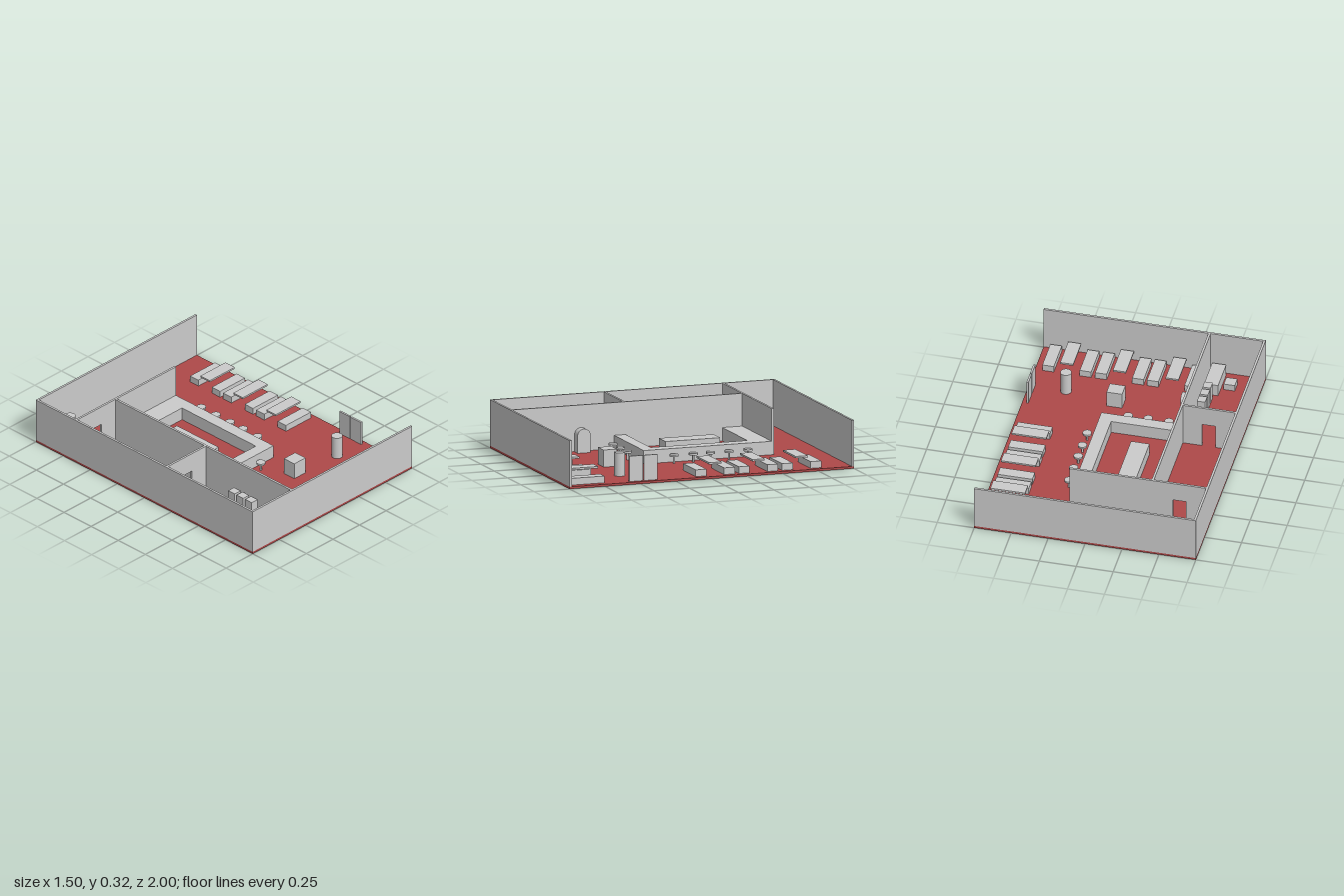
import * as THREE from 'three';

const grey = new THREE.MeshStandardMaterial({ color: 0xcccccc });
const red = new THREE.MeshStandardMaterial({ color: 0xae4949 });
const FLOOR = 0.015, TOP = 0.325, T = 0.015;

export function createModel() {
  const root = new THREE.Group();

  const add = (parent, name, geometry, material = grey) => {
    const mesh = new THREE.Mesh(geometry, material);
    mesh.name = name;
    parent.add(mesh);
    return mesh;
  };
  const group = (name) => {
    const g = new THREE.Group();
    g.name = name;
    root.add(g);
    return g;
  };
  // Box given by its limits along x, z and y
  const box = (parent, name, x0, x1, z0, z1, y0, y1, material) => {
    const mesh = add(parent, name, new THREE.BoxGeometry(x1 - x0, y1 - y0, z1 - z0), material);
    mesh.position.set((x0 + x1) / 2, (y0 + y1) / 2, (z0 + z1) / 2);
    return mesh;
  };
  const cylinder = (parent, name, x, z, r, y0, y1) => {
    const mesh = add(parent, name, new THREE.CylinderGeometry(r, r, y1 - y0, 32));
    mesh.position.set(x, (y0 + y1) / 2, z);
  };

  box(root, 'floor', -0.75, 0.75, -1, 1, 0, FLOOR, red);

  // Outer walls, open on the right side
  const walls = group('walls');
  box(walls, 'frontWall', -0.75, 0.75, 1 - T, 1, FLOOR, TOP);
  box(walls, 'backWall', -0.75, 0.75, -1, -1 + T, FLOOR, TOP);
  box(walls, 'sideWall', -0.75, -0.75 + T, -1 + T, 1 - T, FLOOR, TOP);
  box(walls, 'longPartition', -0.38, -0.365, -0.63, 1 - T, FLOOR, TOP);

  // Cross partitions, each with a doorway
  const crossWall = (name, x1, z) => {
    const s = new THREE.Shape();
    [[-0.735, FLOOR], [-0.6, FLOOR], [-0.6, 0.19], [-0.51, 0.19], [-0.51, FLOOR],
      [x1, FLOOR], [x1, TOP], [-0.735, TOP]].forEach(([x, y], i) => (i ? s.lineTo(x, y) : s.moveTo(x, y)));
    add(walls, name, new THREE.ExtrudeGeometry(s, { depth: T, bevelEnabled: false })).position.z = z;
  };
  crossWall('backPartition', 0.19, -0.645);
  crossWall('middlePartition', -0.38, 0.19);

  // U-shaped bar counter with an island inside
  const bar = group('bar');
  const u = new THREE.Shape();
  [[-0.365, 0.63], [-0.365, 0.49], [0.105, 0.49], [0.105, -0.19], [-0.365, -0.19],
    [-0.365, -0.27], [0.19, -0.27], [0.19, 0.63]].forEach(([x, y], i) => (i ? u.lineTo(x, y) : u.moveTo(x, y)));
  const counter = add(bar, 'counter', new THREE.ExtrudeGeometry(u, { depth: 0.105 - FLOOR, bevelEnabled: false }));
  counter.rotation.x = -Math.PI / 2;
  counter.position.y = FLOOR;
  box(bar, 'island', -0.195, -0.07, -0.365, 0.02, FLOOR, 0.1);

  // Bar stools along two sides of the counter
  const stools = group('barStools');
  const stool = (x, z) => {
    cylinder(stools, 'stoolStem', x, z, 0.007, FLOOR, 0.063);
    cylinder(stools, 'stoolSeat', x, z, 0.03, 0.063, 0.076);
  };
  [-0.445, -0.31, -0.18, -0.06, 0.075].forEach((z) => stool(0.24, z));
  [-0.255, -0.115, 0.02].forEach((x) => stool(x, 0.32));

  // Booths: bench, table, bench, repeated along the side and the front
  const booths = group('booths');
  for (let i = 0; i < 3; i++) {
    const z = -0.645 + i * 0.304;
    box(booths, 'tableTop', 0.48, 0.715, z - 0.043, z + 0.043, 0.09, 0.102);
    for (const s of [-1, 1]) {
      const c = z + s * 0.1;
      box(booths, 'bench', 0.48, 0.715, c - 0.038, c + 0.038, FLOOR, 0.06);
    }
  }
  [[-0.3, -0.178, -0.047], [0.053, 0.178, 0.303], [0.408, 0.535, 0.661]].forEach(([a, t, b]) => {
    box(booths, 'tableTop', t - 0.044, t + 0.044, 0.735, 0.965, 0.09, 0.102);
    for (const c of [a, b]) box(booths, 'bench', c - 0.039, c + 0.039, 0.735, 0.965, FLOOR, 0.06);
  });

  // Office furniture
  const office = group('office');
  box(office, 'desk', -0.49, -0.395, 0.735, 0.965, FLOOR, 0.1);
  box(office, 'officeSeat', -0.585, -0.51, 0.81, 0.885, FLOOR, 0.06);
  [0.52, 0.598, 0.676].forEach((z) => box(office, 'cabinet', -0.46, -0.405, z - 0.03, z + 0.03, FLOOR, 0.14));

  // Entrance: double door, pillar and reception stand
  const entrance = group('entrance');
  box(entrance, 'doorLeaf', 0.708, 0.721, 0.37, 0.466, FLOOR, 0.185);
  box(entrance, 'doorLeaf', 0.708, 0.721, 0.474, 0.57, FLOOR, 0.185);
  box(entrance, 'receptionStand', 0.095, 0.2, 0.46, 0.555, FLOOR, 0.13);
  cylinder(entrance, 'frontPillar', 0.497, 0.555, 0.037, FLOOR, 0.172);
  cylinder(root, 'backPillar', -0.557, -0.875, 0.037, FLOOR, 0.172);

  // Round-topped music cabinet against the partition
  const arch = new THREE.Shape();
  arch.moveTo(-0.046, 0);
  arch.lineTo(0.046, 0);
  arch.lineTo(0.046, 0.115);
  arch.absarc(0, 0.115, 0.046, 0, Math.PI);
  arch.lineTo(-0.046, 0);
  const cabinet = add(root, 'musicCabinet',
    new THREE.ExtrudeGeometry(arch, { depth: 0.057, bevelEnabled: false, curveSegments: 24 }));
  cabinet.rotation.y = Math.PI / 2;
  cabinet.position.set(-0.356, FLOOR, 0.506);

  return root;
}
